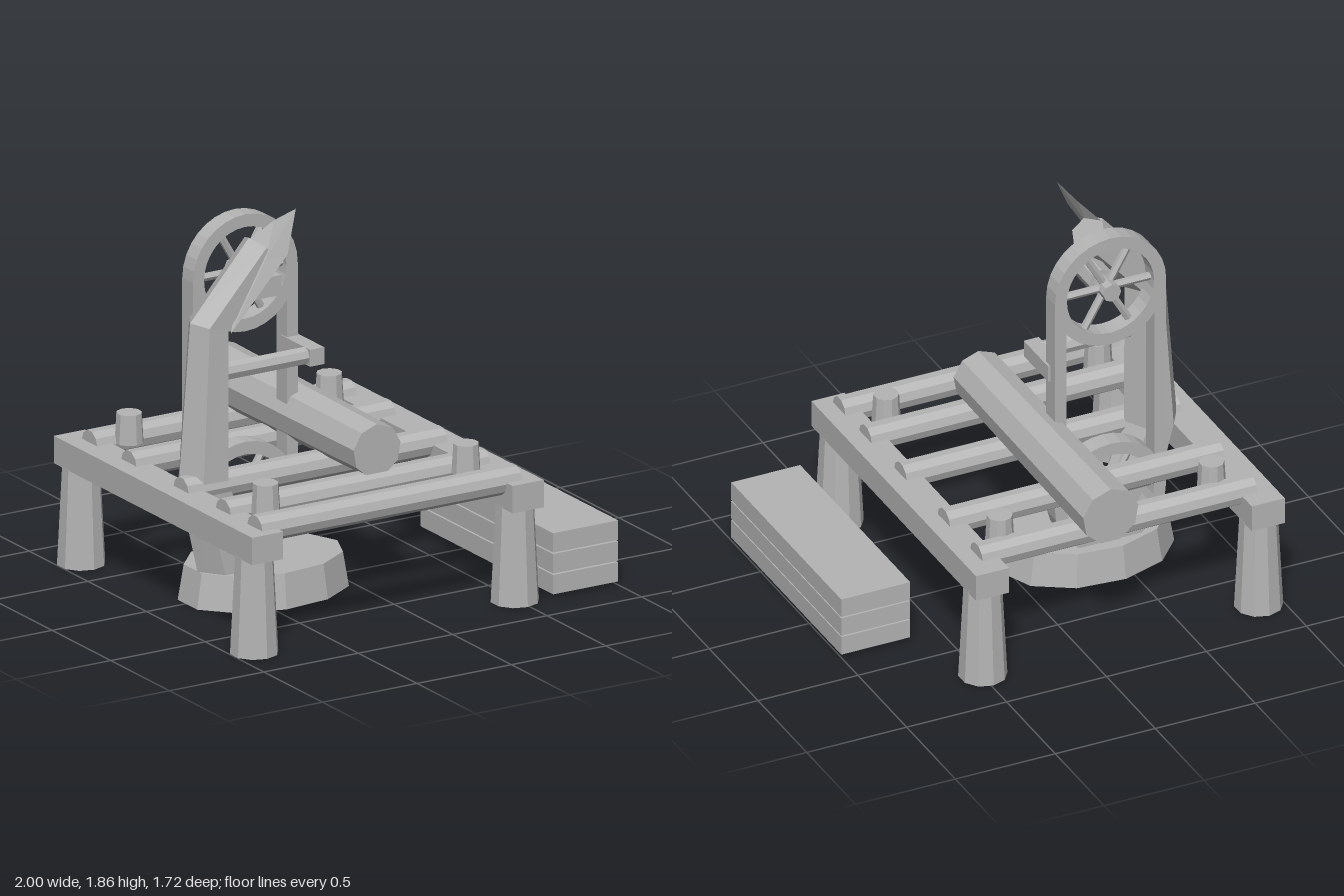
import * as THREE from 'three';

const stone = new THREE.MeshStandardMaterial({ color: 0xb4b4b4, flatShading: true, side: THREE.DoubleSide });
stone.name = 'plain grey';

export function createModel() {
  const model = new THREE.Group();
  model.name = 'bandSawMill';

  const add = (name, geometry, x = 0, y = 0, z = 0, parent = model) => {
    const mesh = new THREE.Mesh(geometry, stone);
    mesh.name = name;
    mesh.position.set(x, y, z);
    parent.add(mesh);
    return mesh;
  };
  const box = (w, h, d) => new THREE.BoxGeometry(w, h, d);
  const cyl = (rTop, rBottom, h, n, open = false) => new THREE.CylinderGeometry(rTop, rBottom, h, n, 1, open);
  const surface = (points, index) => {
    const g = new THREE.BufferGeometry();
    g.setAttribute('position', new THREE.Float32BufferAttribute(points, 3));
    g.setIndex(index);
    const flat = g.toNonIndexed();
    flat.computeVertexNormals();
    return flat;
  };

  // Table: tapered hollow legs, side beams, cross logs and pegs
  for (const x of [-0.89, 0.49]) {
    for (const z of [-0.735, 0.74]) add('leg', cyl(0.088, 0.112, 0.47, 10, true), x, 0.235, z);
    add('sideBeam', box(0.165, 0.13, 1.69), x, 0.525, 0.01);
  }
  for (const z of [-0.67, -0.335, 0.11, 0.47, 0.74]) {
    add('crossLog', cyl(0.066, 0.066, 1.375, 10).rotateZ(Math.PI / 2), -0.198, 0.583, z);
  }
  for (const x of [-0.72, 0.34]) {
    for (const z of [-0.6, 0.565]) add('peg', cyl(0.059, 0.067, 0.14, 10), x, 0.655, z);
  }

  // Log being sawn
  const log = cyl(0.126, 0.14, 1.36, 9).rotateY(Math.PI).rotateX(Math.PI / 2);
  add('log', log, -0.09, 0.745, -0.18);

  // Stack of planks
  for (let i = 0; i < 3; i++) add('plank', box(0.345, 0.092, 1.13), 0.828, 0.062 + i * 0.099, 0.235);

  // Oval base, open underneath
  const base = new THREE.Group();
  base.name = 'base';
  base.position.set(-0.39, 0, 0.015);
  base.scale.set(0.42, 1, 0.295);
  model.add(base);
  add('baseWall', cyl(0.93, 1, 0.165, 11, true).rotateY(Math.PI / 2), 0, 0.0825, 0, base);
  add('baseTop', new THREE.CircleGeometry(0.93, 11).rotateX(-Math.PI / 2), 0, 0.165, 0, base);

  // Bent hexagonal post: each ring is [x, y, half width, half depth, tilt]
  const rings = [
    [-0.585, 0.1, 0.165, 0.11, 0.1],
    [-0.735, 0.6, 0.132, 0.107, 0.06],
    [-0.707, 1.33, 0.102, 0.088, -0.2],
    [-0.425, 1.645, 0.09, 0.093, -0.68],
  ];
  const hex = [[1, 0], [0.5, -1], [-0.5, -1], [-1, 0], [-0.5, 1], [0.5, 1]];
  const points = [], faces = [];
  rings.forEach(([x, y, w, d, tilt], r) => {
    for (const [u, v] of hex) points.push(x + u * w * Math.cos(tilt), y + u * w * Math.sin(tilt), 0.06 + v * d);
    if (r === 0) return;
    for (let i = 0; i < 6; i++) {
      const a = (r - 1) * 6 + i, b = (r - 1) * 6 + (i + 1) % 6;
      faces.push(a, b, b + 6, a, b + 6, a + 6);
    }
  });
  const top = (rings.length - 1) * 6;
  for (let i = 1; i < 5; i++) {
    faces.push(0, i + 1, i, top, top + i, top + i + 1);
  }
  add('post', surface(points, faces));

  // Folded leaf blade on the head of the post
  add('leaf', surface([
    -0.34, 1.855, 0.21,
    -0.43, 1.675, 0.285,
    -0.65, 1.3, 0.155,
    -0.47, 1.62, 0.16,
    -0.5, 1.68, 0.045,
    -0.4, 1.785, 0.12,
  ], [0, 3, 1, 1, 3, 2, 0, 5, 3, 5, 4, 3, 3, 4, 2]));

  // Wheels with rim, six spokes, hub and axle
  const rimShape = new THREE.Shape();
  rimShape.absarc(0, 0, 0.278, 0, Math.PI * 2, false);
  const hole = new THREE.Path();
  hole.absarc(0, 0, 0.218, 0, Math.PI * 2, true);
  rimShape.holes.push(hole);
  const rim = new THREE.ExtrudeGeometry(rimShape, { depth: 0.09, bevelEnabled: false, curveSegments: 16 });

  for (const [name, y] of [['upperWheel', 1.475], ['lowerWheel', 0.395]]) {
    const wheel = new THREE.Group();
    wheel.name = name;
    wheel.position.set(-0.415, y, 0);
    model.add(wheel);
    add('rim', rim, 0, 0, -0.19, wheel);
    for (let i = 0; i < 6; i++) {
      const a = i * Math.PI / 3;
      const spoke = cyl(0.019, 0.019, 0.2, 6).translate(0, 0.13, 0).rotateZ(a - Math.PI / 2);
      add('spoke', spoke, 0, 0, -0.145, wheel);
    }
    add('hub', cyl(0.065, 0.065, 0.185, 8).rotateX(Math.PI / 2), 0, 0, -0.008, wheel);
    add('axle', cyl(0.045, 0.045, 0.12, 8).rotateX(Math.PI / 2), 0, 0, -0.148, wheel);
    add('hubBlock', box(0.14, 0.095, 0.06), -0.02, 0, 0.1, wheel);
  }

  // Saw band running between the wheels
  for (const s of [-1, 1]) add('sawBand', box(0.058, 1.08, 0.09), -0.415 + s * 0.249, 0.935, -0.145);

  // Guide arms that steady the band
  for (const [name, y] of [['upperGuide', 1.09], ['lowerGuide', 0.51]]) {
    add(name + 'Rod', cyl(0.042, 0.042, 0.48, 8).rotateZ(Math.PI / 2), -0.42, y, 0.06);
    add(name + 'Block', box(0.075, 0.08, 0.25), -0.163, y, -0.018);
  }

  return model;
}
